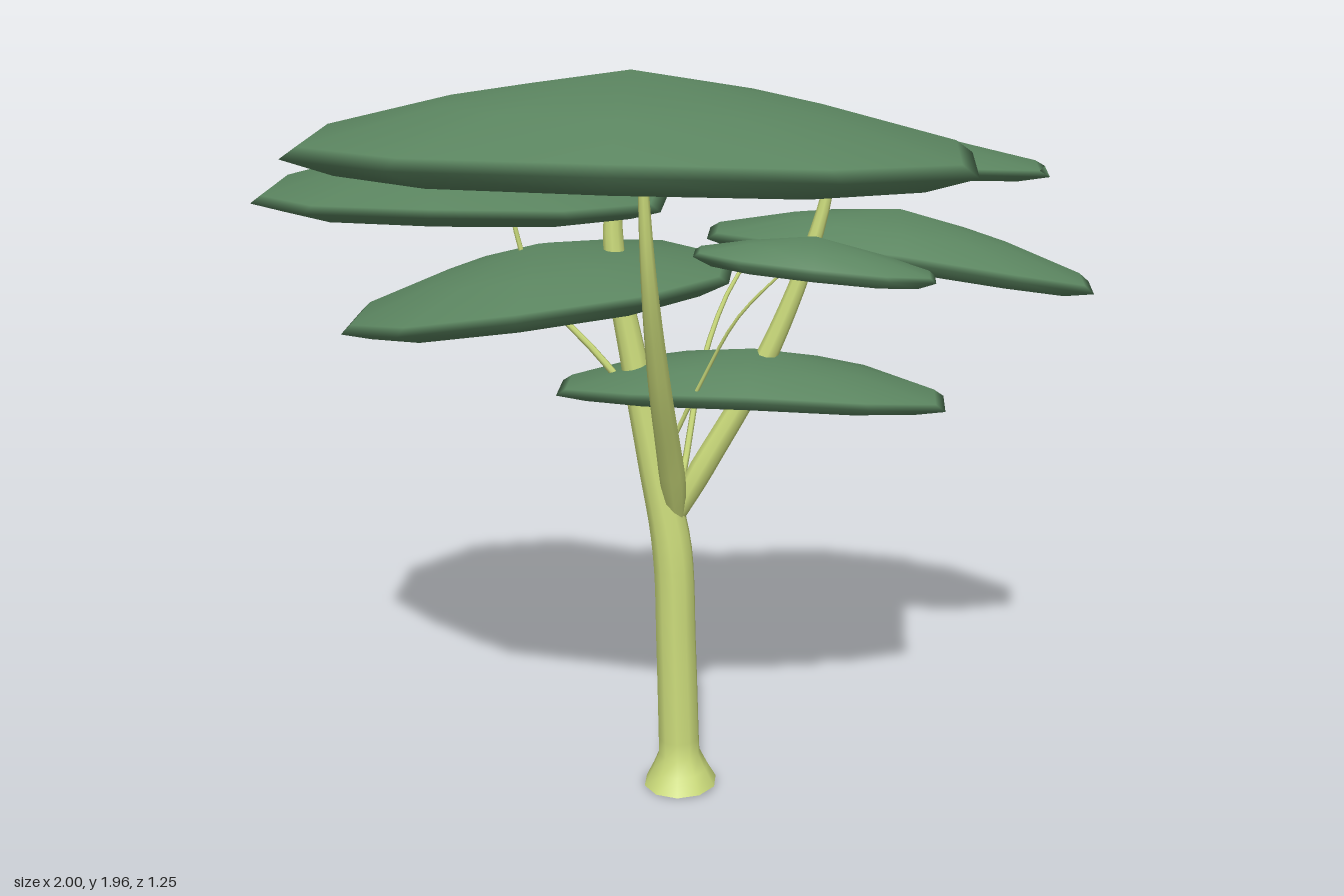
import * as THREE from 'three';
import { mergeVertices } from 'three/addons/utils/BufferGeometryUtils.js';

const bark = new THREE.MeshStandardMaterial({ color: 0xcddd7c });
const leaf = new THREE.MeshStandardMaterial({ color: 0x5b8560 });

// Weld seams so the normals are smooth all round
function weld(geometry) {
  geometry.deleteAttribute('uv');
  geometry.deleteAttribute('normal');
  const welded = mergeVertices(geometry, 1e-5);
  welded.computeVertexNormals();
  return welded;
}

// Tapered limb through stops [x, y, z, radius]
function limb(name, stops, sides = 8, segments = 20) {
  const curve = new THREE.CatmullRomCurve3(stops.map(s => new THREE.Vector3(s[0], s[1], s[2])));
  const geometry = new THREE.TubeGeometry(curve, segments, 1, sides);
  const pos = geometry.attributes.position;
  const v = new THREE.Vector3();
  for (let i = 0; i <= segments; i++) {
    const centre = curve.getPointAt(i / segments);
    const t = curve.getUtoTmapping(i / segments) * (stops.length - 1);
    const k = Math.min(Math.floor(t), stops.length - 2);
    const radius = THREE.MathUtils.lerp(stops[k][3], stops[k + 1][3], t - k);
    for (let j = 0; j <= sides; j++) {
      const n = i * (sides + 1) + j;
      v.fromBufferAttribute(pos, n).sub(centre).multiplyScalar(radius).add(centre);
      pos.setXYZ(n, v.x, v.y, v.z);
    }
  }
  const mesh = new THREE.Mesh(weld(geometry), bark);
  mesh.name = name;
  return mesh;
}

// Ten-sided leaf pad: low cone over a shallow belly, drooping towards its two x tips
const padProfile = [[0, -0.2], [0.45, -0.35], [0.85, -0.36], [1, 0], [0.95, 0.16], [0.55, 0.55], [0, 1]]
  .map(p => new THREE.Vector2(p[0], p[1]));

function leafPad({ name, x, z, halfX, halfZ, left, right, rim, top }) {
  const geometry = new THREE.LatheGeometry(padProfile, 10);
  const pos = geometry.attributes.position;
  const flat = Math.cos(Math.PI / 10);
  for (let i = 0; i < pos.count; i++) {
    const u = pos.getX(i) / flat;
    const bend = rim + u * (right - left) / 2 + u * u * ((left + right) / 2 - rim);
    pos.setXYZ(i, x + u * halfX, bend + pos.getY(i) * (top - rim), z + pos.getZ(i) * halfZ);
  }
  const mesh = new THREE.Mesh(weld(geometry), leaf);
  mesh.name = name;
  return mesh;
}

export function createModel() {
  const tree = new THREE.Group();
  tree.name = 'tree';

  // Trunk with flared foot, running on into the main limb
  tree.add(limb('trunk', [
    [-0.015, 0, -0.23, 0.098], [-0.018, 0.09, -0.23, 0.055], [-0.026, 0.4, -0.23, 0.053],
    [-0.037, 0.68, -0.23, 0.052], [-0.082, 0.92, -0.23, 0.043], [-0.13, 1.17, -0.23, 0.034],
    [-0.18, 1.5, -0.23, 0.025], [-0.15, 1.77, -0.23, 0.012],
  ], 10, 40));
  const foot = new THREE.Mesh(new THREE.CircleGeometry(0.098, 10).rotateX(Math.PI / 2), bark);
  foot.name = 'trunkFoot';
  foot.position.set(-0.015, 0, -0.23);
  tree.add(foot);

  // Main branches
  tree.add(limb('frontBranch', [
    [-0.025, 0.76, -0.23, 0.022], [-0.03, 0.88, -0.18, 0.034], [-0.048, 1.2, -0.01, 0.027],
    [-0.06, 1.5, 0.11, 0.018], [-0.07, 1.8, 0.15, 0.009],
  ]));
  tree.add(limb('leftBranch', [
    [-0.03, 0.76, -0.23, 0.022], [0.03, 0.88, -0.23, 0.032], [0.19, 1.18, -0.23, 0.027],
    [0.31, 1.5, -0.23, 0.018], [0.36, 1.72, -0.23, 0.009],
  ]));

  // Thin twigs
  tree.add(limb('rightTwig', [
    [-0.13, 1.08, -0.23, 0.01], [-0.22, 1.19, -0.23, 0.009], [-0.38, 1.38, -0.23, 0.007], [-0.45, 1.67, -0.23, 0.005],
  ], 6, 12));
  tree.add(limb('backTwig', [
    [-0.01, 0.87, -0.24, 0.009], [0.04, 1.17, -0.36, 0.007], [0.12, 1.36, -0.43, 0.005], [0.24, 1.48, -0.46, 0.003],
  ], 6, 12));
  tree.add(limb('frontTwig', [
    [-0.03, 1.0, -0.11, 0.007], [0.05, 1.18, -0.07, 0.005], [0.14, 1.36, -0.01, 0.004], [0.27, 1.51, 0.04, 0.003],
  ], 6, 12));

  // Leaf pads
  const pads = [
    { name: 'crownPad', x: -0.09, z: 0.155, halfX: 0.75, halfZ: 0.465, left: 1.775, right: 1.76, rim: 1.815, top: 1.955 },
    { name: 'upperRightPad', x: -0.52, z: -0.11, halfX: 0.48, halfZ: 0.4, left: 1.612, right: 1.61, rim: 1.65, top: 1.74 },
    { name: 'lowerRightPad', x: -0.365, z: -0.23, halfX: 0.475, halfZ: 0.36, left: 1.26, right: 1.41, rim: 1.37, top: 1.47 },
    { name: 'backLeftPad', x: 0.52, z: -0.42, halfX: 0.48, halfZ: 0.205, left: 1.46, right: 1.34, rim: 1.445, top: 1.53 },
    { name: 'upperLeftPad', x: 0.375, z: -0.23, halfX: 0.478, halfZ: 0.21, left: 1.685, right: 1.67, rim: 1.71, top: 1.775 },
    { name: 'trunkTopPad', x: -0.16, z: -0.23, halfX: 0.27, halfZ: 0.13, left: 1.735, right: 1.745, rim: 1.765, top: 1.805 },
    { name: 'smallFrontPad', x: 0.315, z: 0.05, halfX: 0.275, halfZ: 0.115, left: 1.525, right: 1.475, rim: 1.51, top: 1.57 },
    { name: 'lowestPad', x: 0.16, z: -0.235, halfX: 0.48, halfZ: 0.205, left: 1.1, right: 1.085, rim: 1.14, top: 1.215 },
  ];
  pads.forEach(p => tree.add(leafPad(p)));
  return tree;
}
